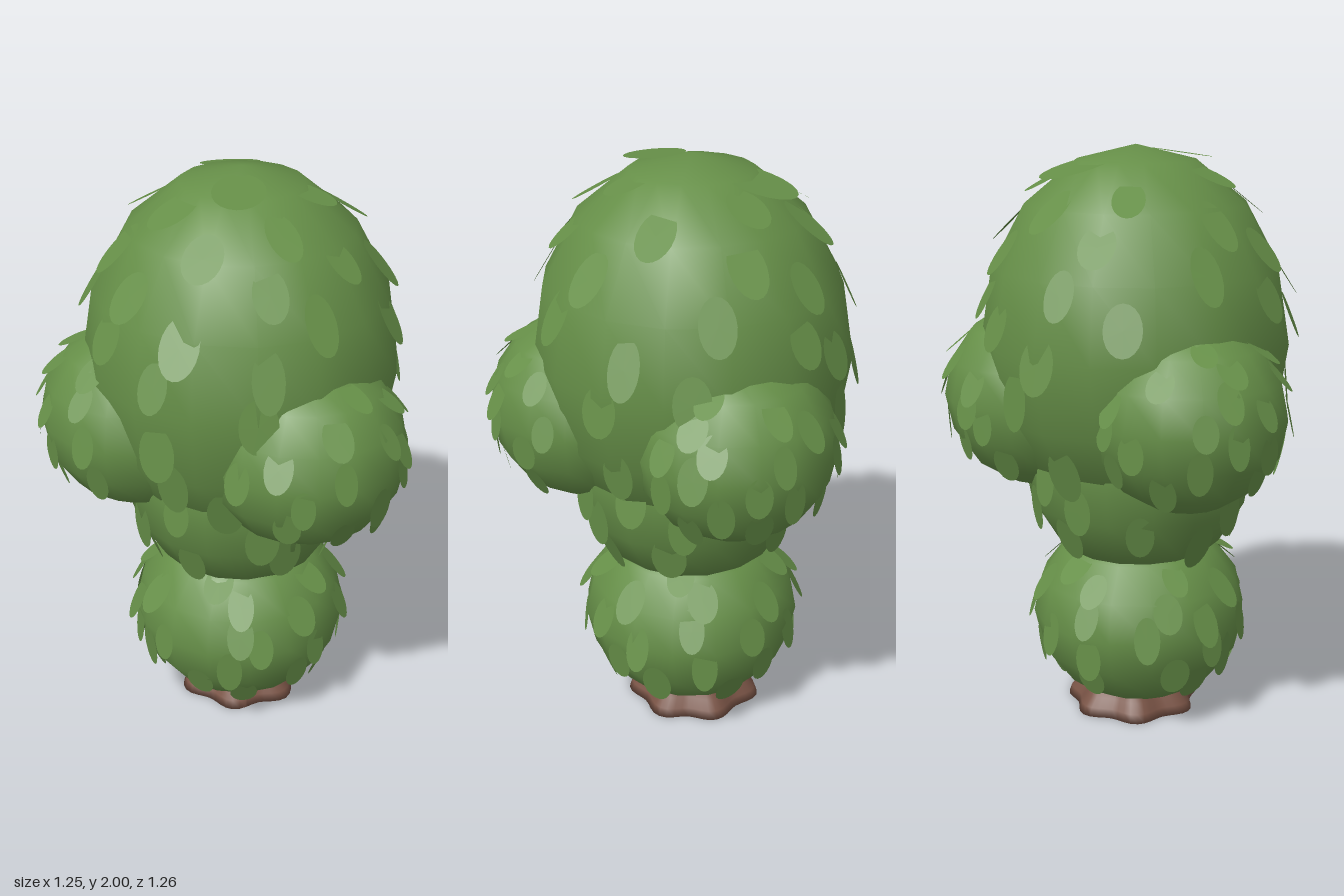
import * as THREE from 'three';
import { mergeGeometries } from 'three/addons/utils/BufferGeometryUtils.js';

const green = new THREE.MeshStandardMaterial({ color: 0x668f48, side: THREE.DoubleSide });
green.name = 'leaf green';
const bark = new THREE.MeshStandardMaterial({ color: 0x7a5446, side: THREE.DoubleSide });
bark.name = 'bark brown';

// Foliage masses: centre, radii, number of leaves, leaf size
const lobe = (name, c, r, count, size) =>
  ({ name, c: new THREE.Vector3(...c), r: new THREE.Vector3(...r), count, size });
const lobes = [
  lobe('crown', [0.05, 1.35, -0.01], [0.53, 0.65, 0.53], 56, 1.15),
  lobe('middleFoliage', [0.05, 0.95, 0], [0.41, 0.45, 0.41], 44, 1.05),
  lobe('lowerFoliage', [0.05, 0.36, 0], [0.38, 0.34, 0.38], 46, 0.95),
];
// Three side clumps spaced evenly around the crown
['frontClump', 'backClump', 'sideClump'].forEach((name, i) => {
  const a = [1.02, -0.98, 3.18][i];
  lobes.push(lobe(name, [0.05 + 0.34 * Math.cos(a), 1.15, 0.34 * Math.sin(a)], [0.34, 0.325, 0.335], 48, 0.85));
});

// Seeded random numbers
let seed = 7;
const rand = () => {
  seed = (seed * 16807) % 2147483647;
  return seed / 2147483647;
};

const insideOther = (p, own) =>
  lobes.some((l) => l !== own && p.clone().sub(l.c).divide(l.r).length() < 0.99);

// One rounded leaf plate lying on a lobe, its tip hanging down and slightly out
function leaf(l, dir, halfWidth, halfLength, tilt) {
  const n = dir.clone().divide(l.r).normalize();
  const p = dir.clone().multiply(l.r).add(l.c);
  const up = new THREE.Vector3(0, 1, 0).addScaledVector(n, -n.y).normalize();
  const side = up.clone().cross(n);
  const up2 = up.clone().multiplyScalar(Math.cos(tilt)).addScaledVector(n, -Math.sin(tilt));
  const n2 = n.clone().multiplyScalar(Math.cos(tilt)).addScaledVector(up, Math.sin(tilt));
  const geo = new THREE.CircleGeometry(1, 20);
  geo.scale(halfWidth, halfLength, 1);
  geo.applyMatrix4(new THREE.Matrix4().makeBasis(side, up2, n2).setPosition(p));
  return geo;
}

// Leaves spread along a golden spiral, left out where another lobe covers them
function leaves(l) {
  const list = [];
  for (let i = 0; i < l.count; i++) {
    const y = 0.9 - (1.55 * (i + rand() * 0.8)) / l.count;
    const a = i * 2.39996 + rand() * 0.5;
    const h = Math.sqrt(1 - y * y);
    const dir = new THREE.Vector3(h * Math.cos(a), y, h * Math.sin(a));
    const w = l.size * (0.045 + 0.014 * rand());
    const len = l.size * (0.07 + 0.02 * rand());
    const tilt = 0.16 + 0.12 * rand();
    if (!insideOther(dir.clone().multiply(l.r).add(l.c), l)) list.push(leaf(l, dir, w, len, tilt));
  }
  return list;
}

export function createModel() {
  const tree = new THREE.Group();
  tree.name = 'tree';

  for (const l of lobes) {
    const group = new THREE.Group();
    group.name = l.name;
    const ball = new THREE.Mesh(new THREE.SphereGeometry(1, 16, 8).scale(l.r.x, l.r.y, l.r.z), green);
    ball.name = l.name + 'Ball';
    ball.position.copy(l.c);
    const plates = leaves(l);
    // Two large leaves on the very top
    if (l.name === 'crown') {
      plates.push(leaf(l, new THREE.Vector3(-0.03, 0.9, -0.43).normalize(), 0.1, 0.135, 0.28));
      plates.push(leaf(l, new THREE.Vector3(-0.05, 0.95, 0.3).normalize(), 0.085, 0.115, 0.22));
    }
    const cover = new THREE.Mesh(mergeGeometries(plates), green);
    cover.name = l.name + 'Leaves';
    group.add(ball, cover);
    tree.add(group);
  }

  // Hollow flared trunk foot with a wavy outline
  const profile = [[0.15, 0.08], [0.165, 0.03], [0.19, 0.005], [0.225, 0], [0.215, 0.03], [0.19, 0.06], [0.17, 0.1]];
  const foot = new THREE.LatheGeometry(profile.map(([x, y]) => new THREE.Vector2(x, y)), 56);
  const pos = foot.attributes.position;
  for (let i = 0; i < pos.count; i++) {
    const x = pos.getX(i), z = pos.getZ(i);
    const k = 1 + 0.07 * Math.cos(7 * Math.atan2(z, x));
    pos.setX(i, x * k);
    pos.setZ(i, z * k);
  }
  foot.computeVertexNormals();
  const trunk = new THREE.Mesh(foot, bark);
  trunk.name = 'trunkFoot';
  trunk.position.set(0.06, 0, -0.02);
  tree.add(trunk);

  return tree;
}
